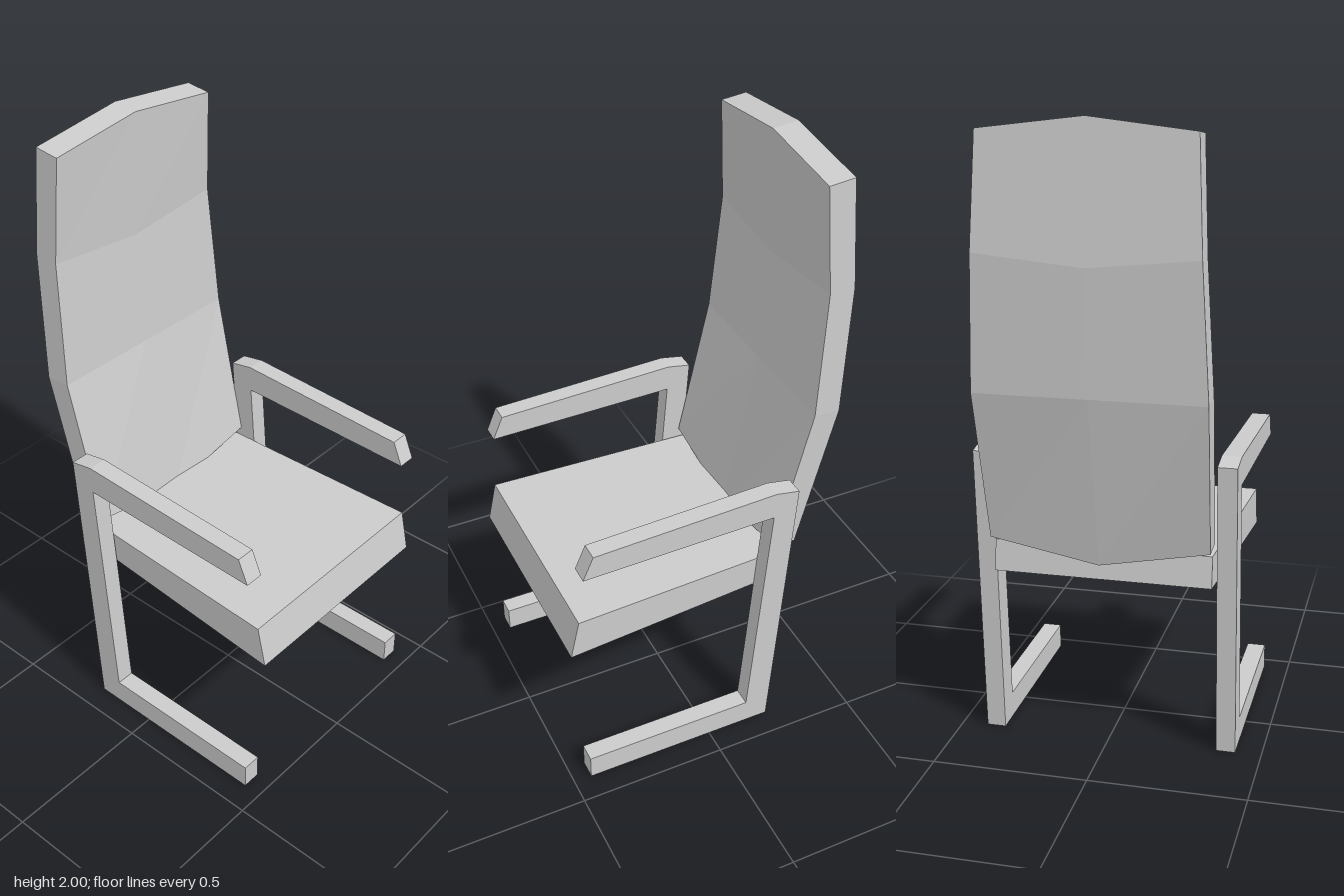
import * as THREE from 'three';

const material = new THREE.MeshStandardMaterial({ color: 0xcccccc, flatShading: true, side: THREE.DoubleSide });

function part(name, geometry) {
  const mesh = new THREE.Mesh(geometry, material);
  mesh.name = name;
  return mesh;
}

// Moves every vertex of a unit box by a rule on its position
function shapedBox(sx, sy, rule) {
  const geometry = new THREE.BoxGeometry(1, 1, 1, sx, sy, 1);
  const pos = geometry.attributes.position;
  for (let i = 0; i < pos.count; i++) {
    pos.setXYZ(i, ...rule(pos.getX(i), pos.getY(i), pos.getZ(i)));
  }
  geometry.computeVertexNormals();
  return geometry;
}

// Side frame: foot, leaning post and armrest in one outline (z, y)
function sideFrame() {
  const outline = [
    [0.44, 0], [-0.22, 0], [-0.29, 0.97], [-0.21, 0.985], [0.405, 0.96],
    [0.44, 0.88], [-0.205, 0.893], [-0.14, 0.085], [0.44, 0.085],
  ].map(([z, y]) => new THREE.Vector2(z, y));
  const width = 0.062;
  const geometry = new THREE.ExtrudeGeometry(new THREE.Shape(outline), { depth: width, bevelEnabled: false });
  geometry.translate(0, 0, -width / 2);
  geometry.rotateY(-Math.PI / 2);
  return geometry;
}

// Seat: wedge, thicker and wider at the front
function seat() {
  return shapedBox(1, 1, (x, y, z) => {
    const front = z > 0, top = y > 0;
    const px = 0.004 + x * 2 * (front ? 0.374 : 0.347);
    return front
      ? [px, top ? 0.675 : 0.54, top ? 0.445 : 0.475]
      : [px, top ? 0.682 : 0.58, top ? -0.28 : -0.29];
  });
}

// Backrest rows, bottom to top: half width, then y and z of the front and back faces,
// and how far the middle column is raised
const rows = [
  { w: 0.348, front: [0.715, -0.246], back: [0.705, -0.325], lift: -0.065 },
  { w: 0.357, front: [1.2, -0.36], back: [1.195, -0.445], lift: 0 },
  { w: 0.338, front: [1.61, -0.39], back: [1.615, -0.473], lift: -0.033 },
  { w: 0.322, front: [1.953, -0.368], back: [1.962, -0.453], lift: 0.038 },
];

function backrest() {
  return shapedBox(2, 3, (x, y, z) => {
    const row = rows[Math.round((y + 0.5) * 3)];
    const [py, pz] = z > 0 ? row.front : row.back;
    const middle = Math.abs(x) < 0.1;
    return [0.004 + x * 2 * row.w, py + (middle ? row.lift : 0), pz];
  });
}

export function createModel() {
  const chair = new THREE.Group();
  chair.name = 'armchair';
  chair.add(part('seat', seat()), part('backrest', backrest()));
  for (const [name, side] of [['leftFrame', 1], ['rightFrame', -1]]) {
    const frame = part(name, sideFrame());
    frame.position.x = side * 0.385;
    chair.add(frame);
  }
  return chair;
}
